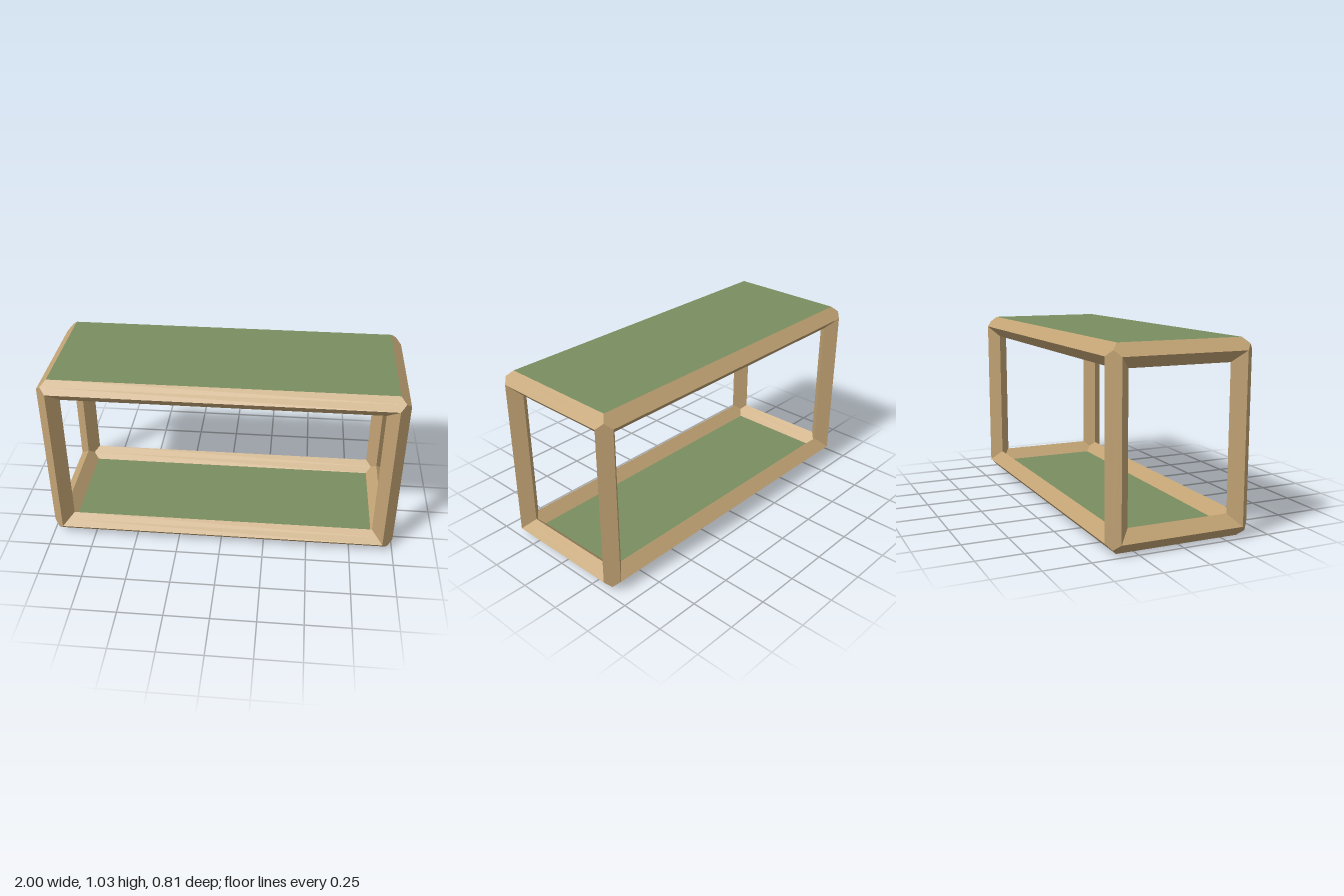
import * as THREE from 'three';

const R = 0.062;                                   // half diagonal of the square bar section
const HALF = { x: 0.938, y: 0.454, z: 0.345 };     // bar axes, measured from the frame centre
const CENTRE_Y = R + HALF.y;

// Square bar set on its edge, mitred at both ends for a three-way corner.
// su and sv say which way is outward in the section.
function barGeometry(half, su, sv) {
  const geo = new THREE.CylinderGeometry(1, 1, 2, 8, 1, true);
  const p = geo.attributes.position;
  for (let i = 0; i < p.count; i++) {
    const x = p.getX(i), z = p.getZ(i);
    const k = R / (Math.abs(x) + Math.abs(z));
    const u = x * k, v = z * k;
    const end = half + Math.min(u * su, v * sv);
    p.setXYZ(i, u, Math.sign(p.getY(i)) * end, v);
  }
  geo.computeVertexNormals();
  return geo;
}

export function createModel() {
  const model = new THREE.Group();
  model.name = 'openFrameBench';
  const wood = new THREE.MeshStandardMaterial({ color: 0xc2a374, flatShading: true });
  const green = new THREE.MeshStandardMaterial({ color: 0x7a8d5f });

  const axis = {
    x: new THREE.Vector3(1, 0, 0),
    y: new THREE.Vector3(0, 1, 0),
    z: new THREE.Vector3(0, 0, 1),
  };

  // Four parallel bars along each axis; [length axis, section u, section v]
  const sets = [
    ['x', 'z', 'y', 'longRail'],
    ['y', 'x', 'z', 'cornerPost'],
    ['z', 'y', 'x', 'endRail'],
  ];
  const frame = new THREE.Group();
  frame.name = 'frame';
  frame.position.y = CENTRE_Y;
  for (const [along, u, v, name] of sets) {
    for (const su of [-1, 1]) for (const sv of [-1, 1]) {
      const geo = barGeometry(HALF[along], su, sv);
      geo.applyMatrix4(new THREE.Matrix4().makeBasis(axis[u], axis[along], axis[v]));
      const bar = new THREE.Mesh(geo, wood);
      bar.name = name;
      bar.position[u] = su * HALF[u];
      bar.position[v] = sv * HALF[v];
      frame.add(bar);
    }
  }
  model.add(frame);

  // Panels let into the rails
  function panel(name, bottom, top) {
    const geo = new THREE.BoxGeometry(2 * HALF.x, top - bottom, 2 * HALF.z);
    const mesh = new THREE.Mesh(geo, green);
    mesh.name = name;
    mesh.position.y = (bottom + top) / 2;
    model.add(mesh);
  }
  const topY = CENTRE_Y + HALF.y;
  panel('topPanel', topY, topY + R);
  panel('lowerShelf', R / 2, R);

  return model;
}
